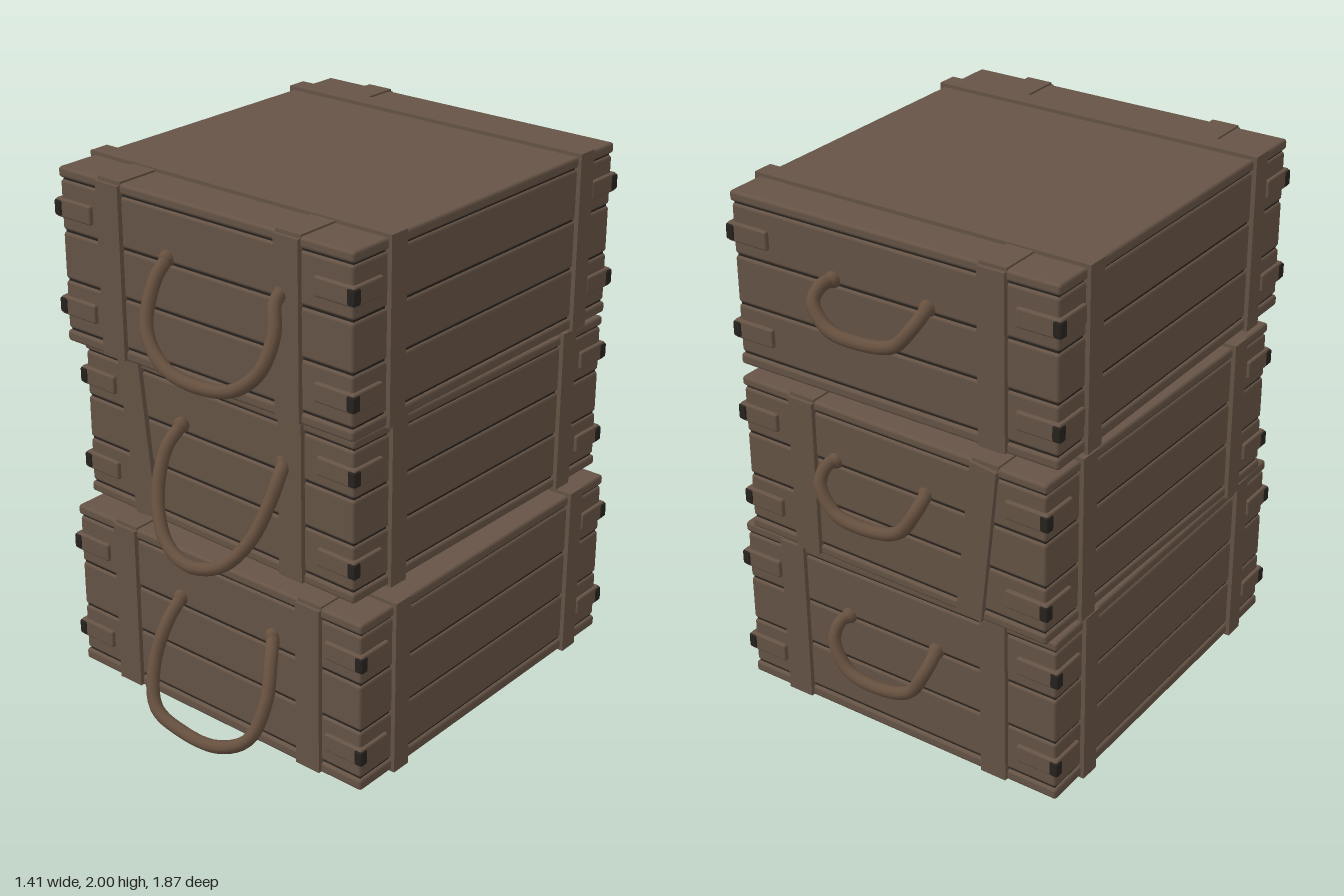
import * as THREE from 'three';
import { RoundedBoxGeometry } from 'three/addons/geometries/RoundedBoxGeometry.js';

const wood = new THREE.MeshStandardMaterial({ color: 0x665446 });
wood.name = 'wood';
const rope = new THREE.MeshStandardMaterial({ color: 0x66503f });
rope.name = 'rope';
const dark = new THREE.MeshStandardMaterial({ color: 0x27221e });
dark.name = 'dark iron';

function box(parent, name, size, pos, mat = wood, radius = 0) {
  const geo = radius
    ? new RoundedBoxGeometry(...size, 2, radius)
    : new THREE.BoxGeometry(...size);
  const mesh = new THREE.Mesh(geo, mat);
  mesh.name = name;
  mesh.position.set(...pos);
  parent.add(mesh);
  return mesh;
}

// straps: [x at mid height, lean, on the back too]; bands: z of the bands over the sides
function crate({ name, x, y, z, w, h, d, turn = 0, straps, bands }) {
  const g = new THREE.Group();
  g.name = name;
  g.position.set(x, y, z);
  g.rotation.y = turn;

  // dark core seen through the gaps
  box(g, 'core', [w - 0.025, h - 0.03, d - 0.025], [0, h / 2, 0], dark);

  // base, three courses of planks and lid
  const cuts = [0, 0.075, 0.365, 0.645, 0.94, 1];
  for (let i = 0; i < 5; i++) {
    const lo = cuts[i] * h, hi = cuts[i + 1] * h - (i < 4 ? 0.007 : 0);
    const grow = i === 0 || i === 4 ? 0 : 0.008;
    box(g, ['base', 'plank', 'plank', 'plank', 'lid'][i],
      [w - grow, hi - lo, d - grow], [0, (lo + hi) / 2, 0], wood, 0.012);
  }

  // upright battens on front and back, folded over the lid
  for (const [sx, lean, back] of straps) {
    for (const s of back ? [1, -1] : [1]) {
      const batten = box(g, 'batten', [0.105, h - 0.012, 0.024], [sx, h / 2, s * (d / 2 + 0.002)]);
      batten.rotation.z = lean;
      const inner = s > 0 ? bands[0] : bands[1];
      const len = Math.abs(s * d / 2 - inner);
      box(g, 'batten fold', [0.105, 0.014, len], [sx - lean * h / 2, h, inner + s * len / 2]);
    }
  }

  // bands wrapped over the sides, lid and base
  for (const bz of bands) {
    box(g, 'side band', [w + 0.026, h + 0.018, 0.08], [0, h / 2 + 0.004, bz]);
  }

  // corner braces with iron tips
  for (const sx of [-1, 1]) for (const sz of [-1, 1]) for (const f of [0.215, 0.775]) {
    const by = f * h;
    box(g, 'corner brace', [0.17, 0.07, 0.15],
      [sx * (w / 2 - 0.075), by, sz * (d / 2 - 0.065)], wood, 0.008);
    box(g, 'corner iron', [0.035, 0.058, 0.035],
      [sx * (w / 2 - 0.003), by, sz * (d / 2 - 0.003)], dark, 0.008);
  }
  return g;
}

// sagging rope loop with knotted ends
function handle(name, points, radius = 0.024) {
  const g = new THREE.Group();
  g.name = name;
  const pts = points.map(p => new THREE.Vector3(...p));
  const curve = new THREE.CatmullRomCurve3(pts);
  const tube = new THREE.Mesh(new THREE.TubeGeometry(curve, 48, radius, 10), rope);
  tube.name = 'rope';
  g.add(tube);
  for (const p of [pts[0], pts[pts.length - 1]]) {
    const knot = new THREE.Mesh(new THREE.SphereGeometry(radius * 1.25, 12, 8), rope);
    knot.name = 'knot';
    knot.position.copy(p);
    g.add(knot);
  }
  return g;
}

// back rope loop hanging from height y off the back face at z
function backHandle(name, y, z, reach, drop) {
  const steps = [[-0.165, 0, 0], [-0.175, 0.01, 0.3], [-0.165, 0.3, 0.75], [-0.11, 0.8, 0.95],
    [0.03, 1, 1], [0.16, 0.9, 0.95], [0.235, 0.4, 0.75], [0.235, 0.06, 0.35], [0.22, 0, 0]];
  return handle(name, steps.map(([x, a, b]) => [x, y - a * drop, z - b * reach]));
}

export function createModel() {
  const model = new THREE.Group();
  model.name = 'crateStack';

  model.add(
    crate({
      name: 'bottomCrate', x: 0.01, y: 0.008, z: -0.055, w: 1.36, h: 0.665, d: 1.46,
      straps: [[-0.425, 0, true], [0.45, 0, true]], bands: [0.52, -0.53],
    }),
    crate({
      name: 'middleCrate', x: -0.03, y: 0.69, z: -0.115, w: 1.29, h: 0.615, d: 1.42, turn: -0.02,
      straps: [[-0.37, 0.11, true], [0.37, 0, true]], bands: [0.49, -0.48],
    }),
    crate({
      name: 'topCrate', x: -0.01, y: 1.335, z: -0.055, w: 1.32, h: 0.65, d: 1.46,
      straps: [[-0.41, 0, true], [0.39, 0, false]], bands: [0.52, -0.54],
    }),
  );

  // front rope handles
  model.add(
    handle('topFrontHandle', [
      [-0.16, 1.77, 0.67], [-0.15, 1.72, 0.74], [-0.11, 1.58, 0.83], [0, 1.49, 0.87],
      [0.14, 1.465, 0.88], [0.31, 1.49, 0.87], [0.4, 1.57, 0.84], [0.41, 1.68, 0.78],
      [0.37, 1.76, 0.73], [0.35, 1.78, 0.67]]),
    handle('middleFrontHandle', [
      [-0.19, 1.12, 0.6], [-0.19, 1.06, 0.68], [-0.15, 0.92, 0.77], [-0.06, 0.8, 0.83],
      [0.06, 0.755, 0.85], [0.2, 0.79, 0.83], [0.28, 0.89, 0.77], [0.31, 1.02, 0.7],
      [0.31, 1.1, 0.65], [0.29, 1.13, 0.6]]),
    handle('bottomFrontHandle', [
      [-0.15, 0.47, 0.67], [-0.14, 0.42, 0.75], [-0.13, 0.28, 0.84], [-0.07, 0.15, 0.9],
      [0.06, 0.11, 0.91], [0.24, 0.12, 0.91], [0.36, 0.19, 0.88], [0.38, 0.32, 0.81],
      [0.34, 0.43, 0.74], [0.29, 0.48, 0.67]]),
  );

  // back rope handles
  model.add(
    backHandle('topBackHandle', 1.77, -0.78, 0.12, 0.13),
    backHandle('middleBackHandle', 1.1, -0.81, 0.1, 0.16),
    backHandle('bottomBackHandle', 0.44, -0.78, 0.1, 0.18),
  );
  return model;
}
